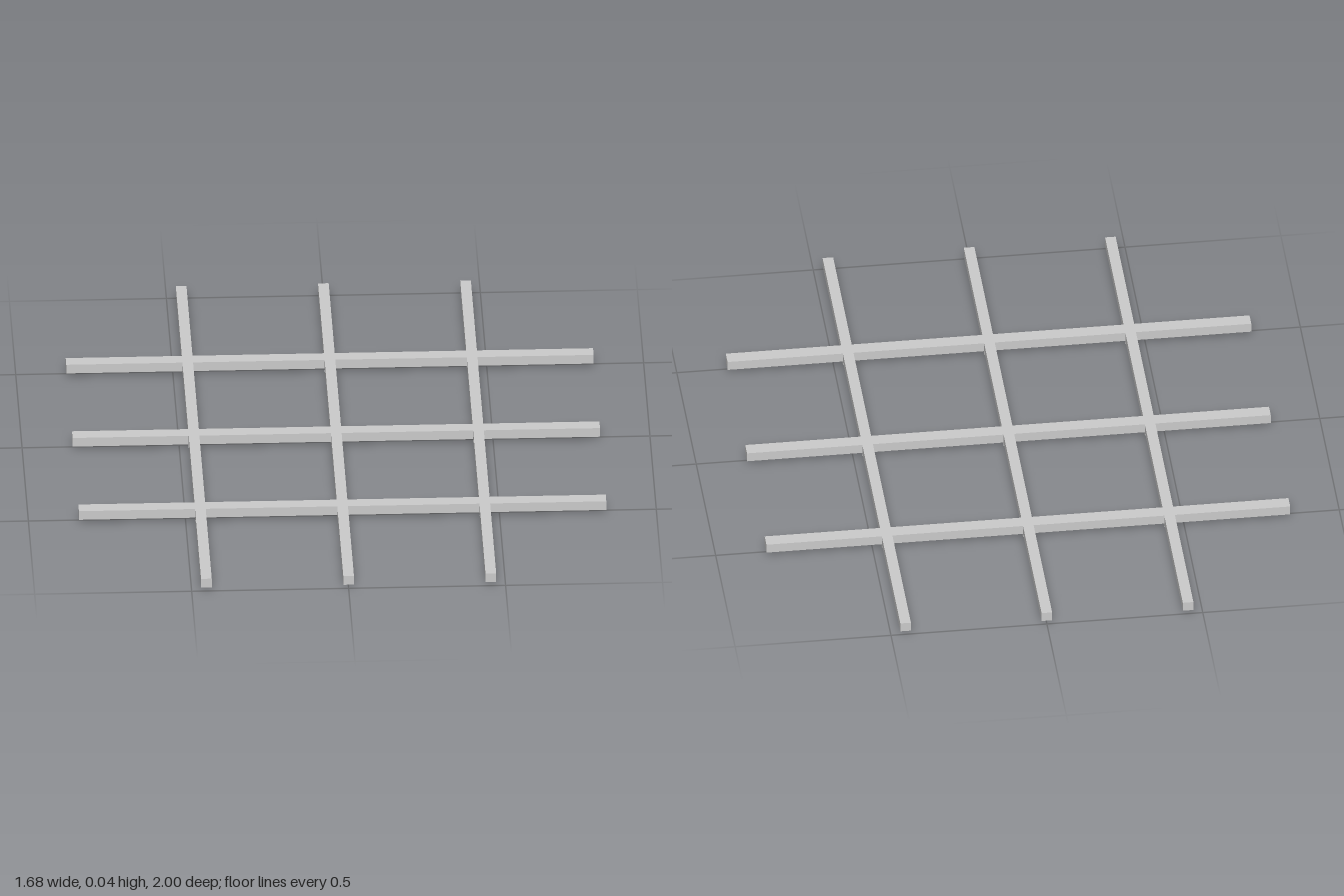
import * as THREE from 'three';

export function createModel() {
  const model = new THREE.Group();
  model.name = 'crossedBarGrid';
  const material = new THREE.MeshStandardMaterial({ color: 0xcccccc, flatShading: true });

  const top = 0.044, underside = 0.013;
  const longWidth = 0.034, crossWidth = 0.046;
  const columns = [-0.453, 0, 0.453];
  const rows = [-0.5, 0, 0.5];

  // Box placed by its footprint centre and its lower and upper heights
  function addBox(name, width, depth, y0, y1, x, z) {
    const mesh = new THREE.Mesh(new THREE.BoxGeometry(width, y1 - y0, depth), material);
    mesh.name = name;
    mesh.position.set(x, (y0 + y1) / 2, z);
    model.add(mesh);
  }

  // Bars running front to back
  columns.forEach((x, i) => addBox(`longBar${i + 1}`, longWidth, 2, underside, top, x, 0));

  // Bars running side to side
  rows.forEach((z, i) => addBox(`crossBar${i + 1}`, 1.68, crossWidth, underside, top, 0, z));

  // Small feet under every crossing
  for (const x of columns) {
    for (const z of rows) addBox('crossingFoot', longWidth, crossWidth, 0, underside, x, z);
  }

  return model;
}
